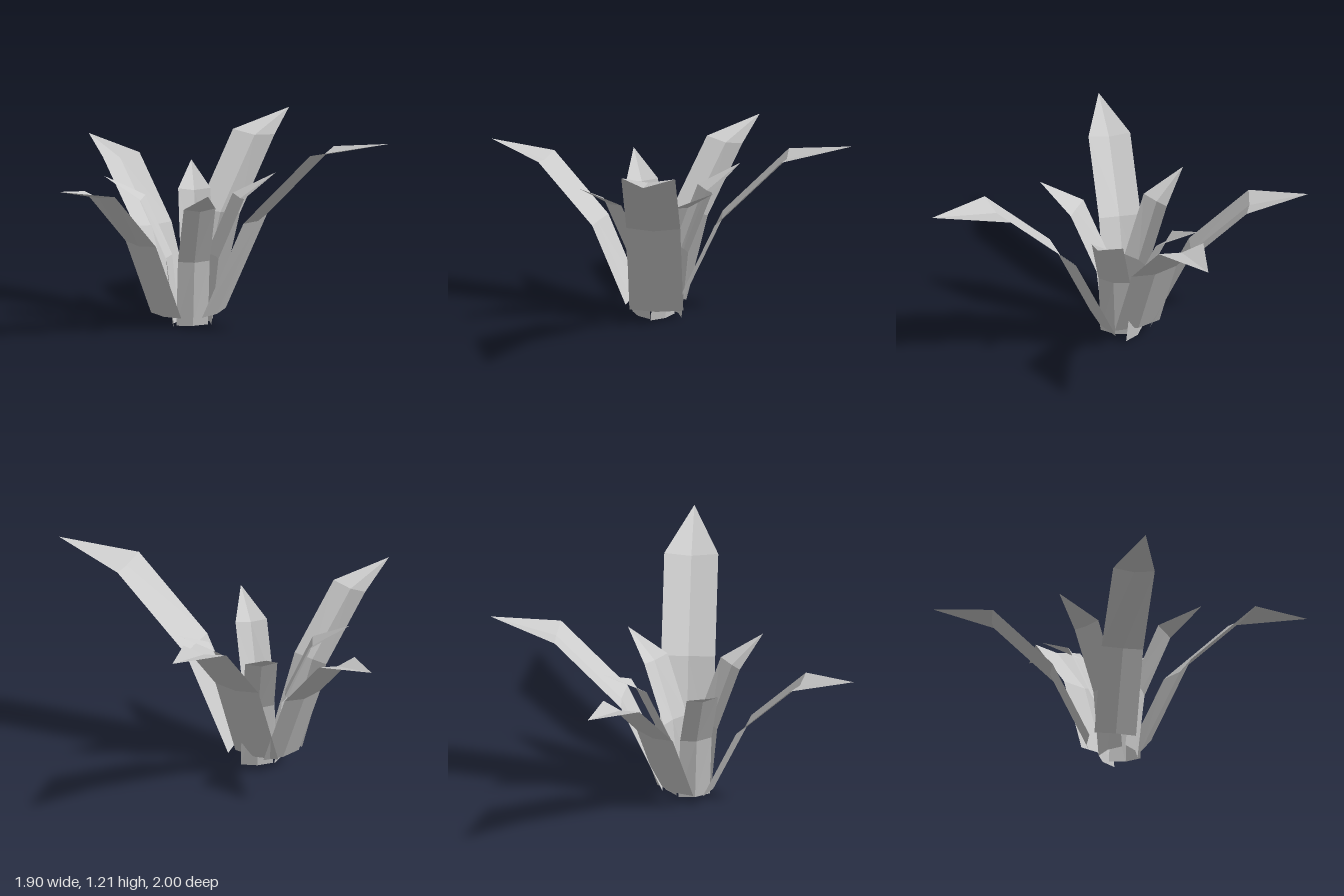
import * as THREE from 'three';

const material = new THREE.MeshStandardMaterial({
  color: 0xcccccc, flatShading: true, side: THREE.DoubleSide,
});

// Bend of each leaf type: [run fraction, rise fraction, keel push out, keel drop]
const OUTER = [[0, 0, 0.02, 0.005], [0.235, 0.526, 0.018, 0.012], [0.615, 0.925, 0.01, 0.022]];
const INNER = [[0, 0, 0.025, 0], [0.1, 0.454, 0.02, 0.005], [0.466, 0.856, 0.012, 0.015]];

// Leaf folded along its keel: three cross-sections (edge, keel, edge) and a pointed tip
function makeLeaf(name, bend, base, tip, halfWidth) {
  const a = new THREE.Vector3(...base);
  const b = new THREE.Vector3(...tip);
  const out = new THREE.Vector3(b.x - a.x, 0, b.z - a.z).normalize();
  const side = new THREE.Vector3(out.z, 0, -out.x).multiplyScalar(halfWidth);
  const points = [];
  for (const [run, rise, push, drop] of bend) {
    const c = new THREE.Vector3(
      THREE.MathUtils.lerp(a.x, b.x, run),
      THREE.MathUtils.lerp(a.y, b.y, rise),
      THREE.MathUtils.lerp(a.z, b.z, run));
    const keel = c.clone().addScaledVector(out, push);
    keel.y -= drop;
    points.push(c.clone().sub(side), keel, c.clone().add(side));
  }
  points.push(b);

  const index = [];
  for (let row = 0; row < 2; row++) {
    for (let col = 0; col < 2; col++) {
      const i = row * 3 + col;
      index.push(i, i + 1, i + 4, i, i + 4, i + 3);
    }
  }
  index.push(6, 7, 9, 7, 8, 9);

  const indexed = new THREE.BufferGeometry().setFromPoints(points);
  indexed.setIndex(index);
  const geometry = indexed.toNonIndexed();
  geometry.computeVertexNormals();
  const mesh = new THREE.Mesh(geometry, material);
  mesh.name = name;
  return mesh;
}

export function createModel() {
  const plant = new THREE.Group();
  plant.name = 'leafRosette';

  // Long outer leaves: base, tip
  const outer = [
    ['outerLeafFrontLeft', [0.15, 0.08, 0.16], [0.95, 1.21, 1.0]],
    ['outerLeafBackLeft', [0.12, 0.08, -0.04], [0.94, 1.1, -0.69]],
    ['outerLeafBack', [-0.015, 0.075, -0.09], [-0.21, 0.965, -1.0]],
    ['outerLeafRight', [-0.125, 0.07, 0.09], [-0.95, 0.955, 0.475]],
  ];
  for (const [name, base, tip] of outer) {
    const run = Math.hypot(tip[0] - base[0], tip[2] - base[2]);
    plant.add(makeLeaf(name, OUTER, base, tip, run * 0.138));
  }

  // Short inner leaves: base, tip
  const inner = [
    ['innerLeafFront', [0.015, 0.015, 0.155], [-0.05, 0.885, 0.6]],
    ['innerLeafLeft', [0.125, 0.015, 0.088], [0.57, 0.885, 0.085]],
    ['innerLeafBack', [0.11, 0.012, -0.02], [0.23, 0.885, -0.44]],
    ['innerLeafRight', [-0.04, 0.003, 0.04], [-0.42, 0.885, -0.18]],
  ];
  for (const [name, base, tip] of inner) {
    plant.add(makeLeaf(name, INNER, base, tip, 0.096));
  }
  return plant;
}
